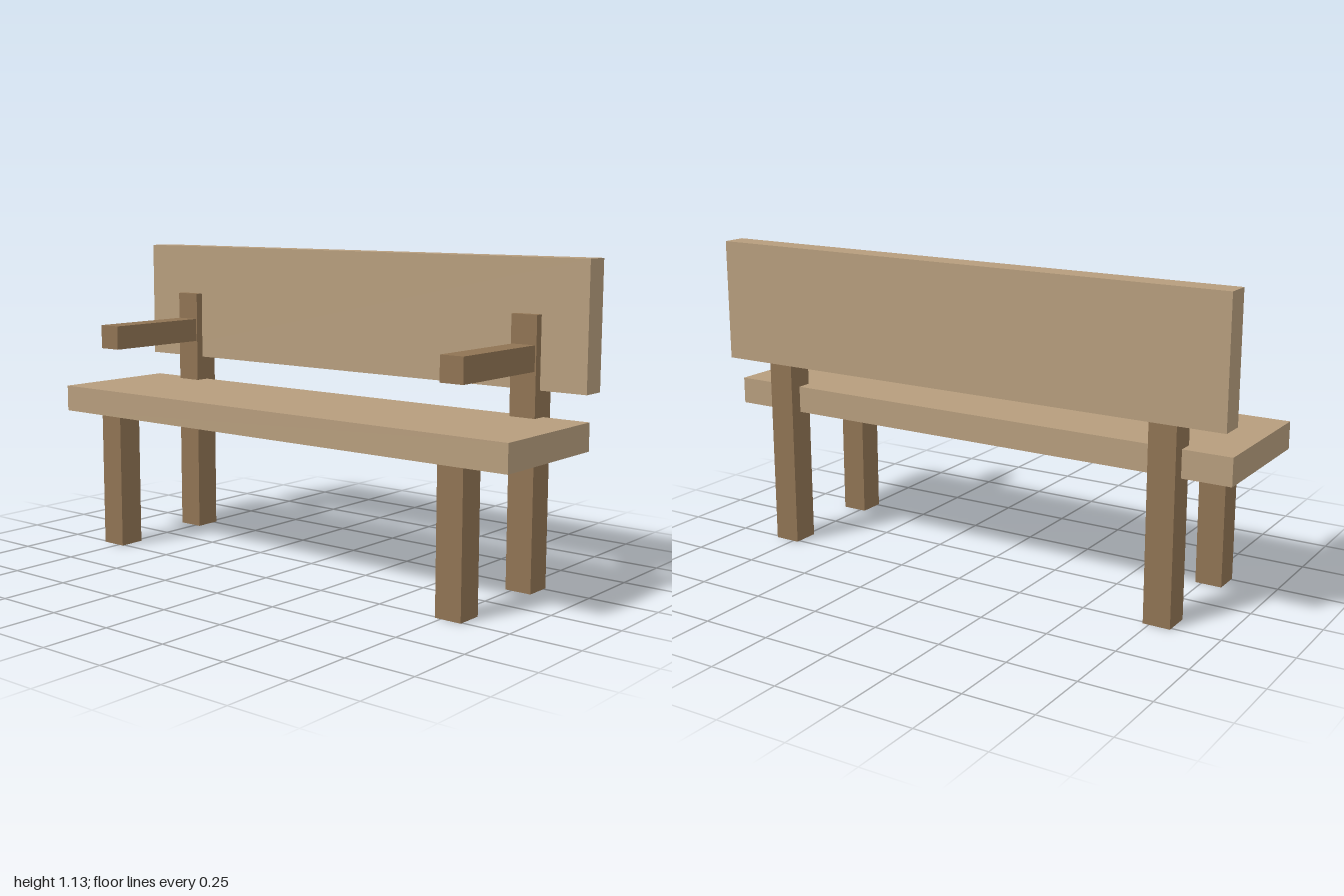
import * as THREE from 'three';

export function createModel() {
  const bench = new THREE.Group();
  bench.name = 'bench';
  const plankWood = new THREE.MeshStandardMaterial({ color: 0xb69d7d });
  const frameWood = new THREE.MeshStandardMaterial({ color: 0x8f7353 });

  // Box given by its extents along each axis
  function beam(name, material, [x0, x1], [y0, y1], [z0, z1]) {
    const mesh = new THREE.Mesh(new THREE.BoxGeometry(x1 - x0, y1 - y0, z1 - z0), material);
    mesh.position.set((x0 + x1) / 2, (y0 + y1) / 2, (z0 + z1) / 2);
    mesh.name = name;
    bench.add(mesh);
  }

  // Planks
  beam('seat', plankWood, [-1, 1], [0.503, 0.6], [-0.217, 0.281]);
  beam('backrest', plankWood, [-1, 1], [0.692, 1.132], [-0.281, -0.192]);

  // Legs and armrest, mirrored on both sides
  for (const [side, s] of [['left', 1], ['right', -1]]) {
    const span = (a, b) => (s > 0 ? [a, b] : [-b, -a]);
    beam(side + 'FrontLeg', frameWood, span(0.728, 0.826), [0, 0.51], [0.161, 0.259]);
    beam(side + 'BackPost', frameWood, span(0.728, 0.826), [0, 0.945], [-0.262, -0.163]);
    beam(side + 'Armrest', frameWood, span(0.733, 0.821), [0.757, 0.845], [-0.17, 0.259]);
  }
  return bench;
}
